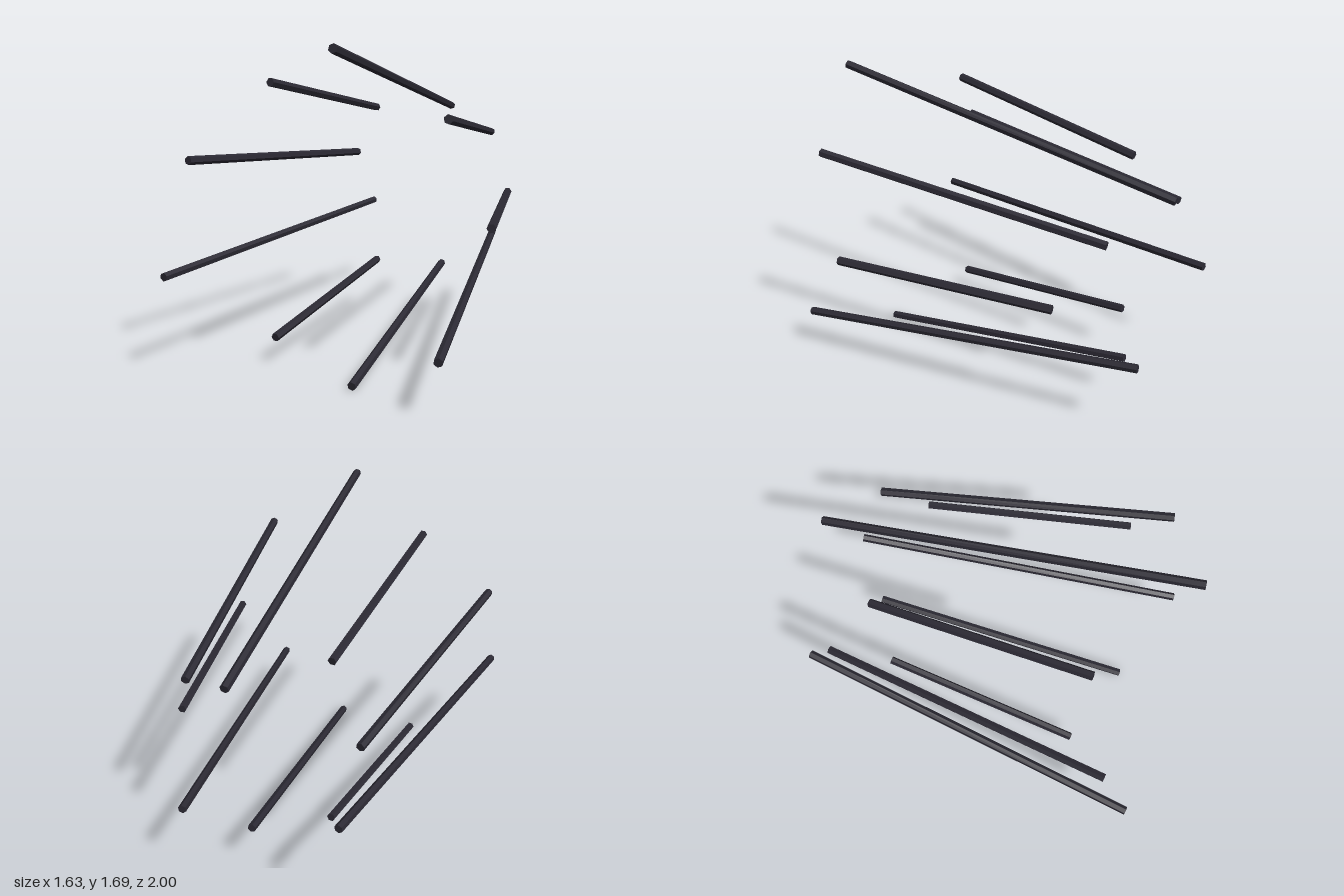
import * as THREE from 'three';

export function createModel() {
  const model = new THREE.Group();
  model.name = 'flaredRodRing';
  const material = new THREE.MeshStandardMaterial({ color: 0x2b2933, flatShading: true });

  const count = 9;
  const lengths = [1.215, 1.618, 2.023]; // short, medium, long, repeating round the ring
  const tilt = THREE.MathUtils.degToRad(10);

  // Hexagonal rods along z, one corner pointing outward, front end flared out
  const geometries = lengths.map((length) =>
    new THREE.CylinderGeometry(0.0235, 0.0235, length, 6)
      .rotateY(Math.PI / 6)
      .rotateX(Math.PI / 2)
      .rotateY(tilt)
      .translate(0.678, 0, 0));

  // Ring of rods around the z axis
  const ring = new THREE.Group();
  ring.name = 'rodRing';
  ring.position.set(0.009, 0.829, 0);
  for (let i = 0; i < count; i++) {
    const rod = new THREE.Mesh(geometries[i % 3], material);
    rod.name = `rod${i + 1}`;
    rod.rotation.z = (i / count) * Math.PI * 2;
    ring.add(rod);
  }
  model.add(ring);
  return model;
}
